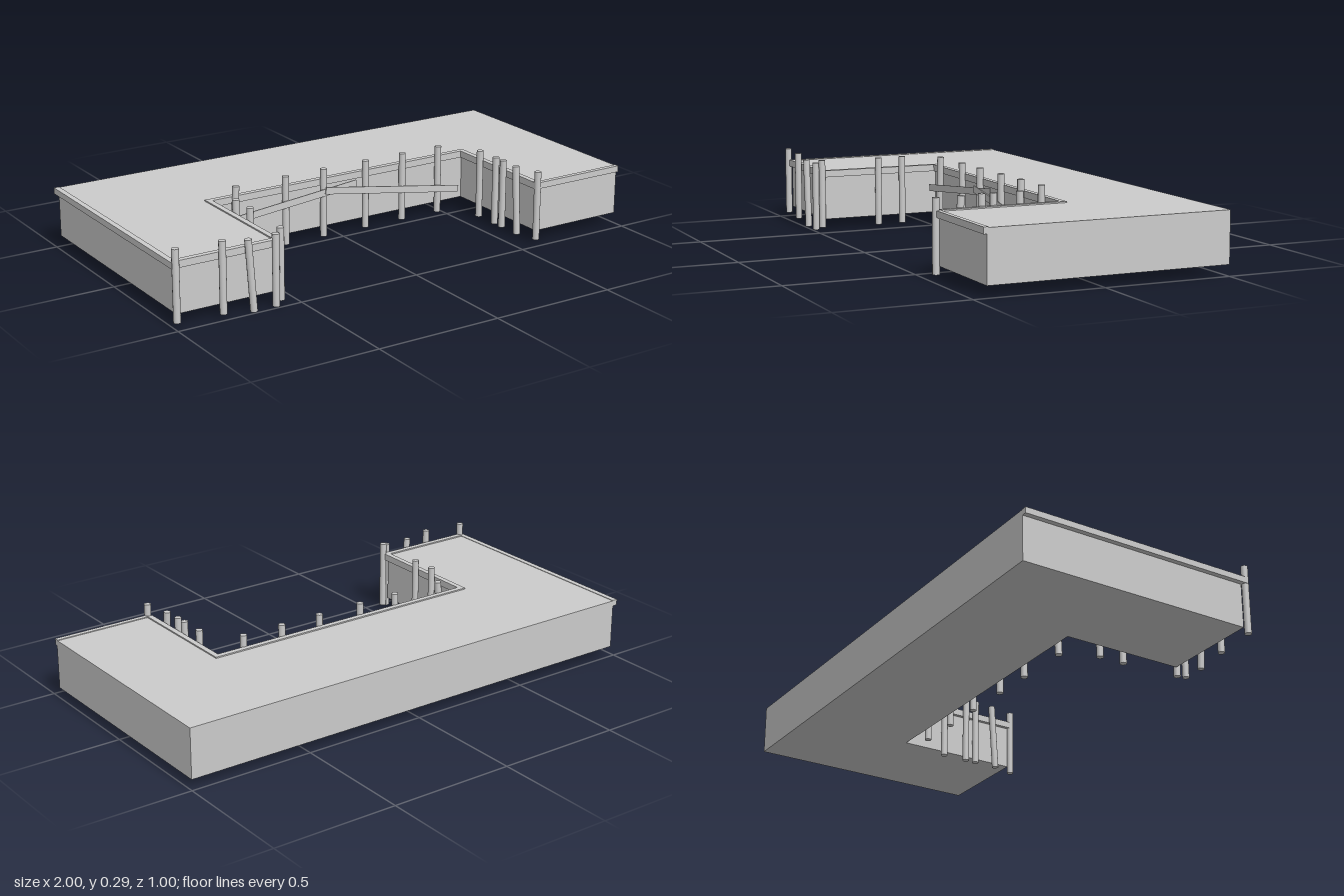
import * as THREE from 'three';

const mat = new THREE.MeshStandardMaterial({ color: 0xcccccc });
const UP = new THREE.Vector3(0, 1, 0);

export function createModel() {
  const model = new THREE.Group();

  const add = (parent, name, geometry) => {
    const mesh = new THREE.Mesh(geometry, mat);
    mesh.name = name;
    parent.add(mesh);
    return mesh;
  };
  const group = (name) => {
    const g = new THREE.Group();
    g.name = name;
    model.add(g);
    return g;
  };

  // U-shaped platform, drawn as (x, -z) and extruded upward
  const outline = [
    [-0.98, 0.5], [-0.98, -0.45], [-0.58, -0.45], [-0.58, 0.045],
    [0.6, 0.045], [0.6, -0.45], [1, -0.45], [1, 0.5],
  ].map(([x, y]) => new THREE.Vector2(x, y));
  const slab = new THREE.ExtrudeGeometry(new THREE.Shape(outline), { depth: 0.197, bevelEnabled: false });
  slab.rotateX(-Math.PI / 2);
  add(model, 'platform', slab).position.y = 0.045;

  // Edge beams that overhang the platform walls: x0, x1, z0, z1, top
  const beams = group('edgeBeams');
  [
    [-1, -0.978, -0.5, 0.465, 0.244],
    [-0.978, -0.565, 0.443, 0.465, 0.247],
    [-0.587, -0.565, -0.052, 0.443, 0.247],
    [-0.565, 0.585, -0.052, -0.03, 0.247],
    [0.585, 0.607, -0.052, 0.443, 0.247],
    [0.585, 1, 0.443, 0.462, 0.245],
  ].forEach(([x0, x1, z0, z1, top]) => {
    add(beams, 'edgeBeam', new THREE.BoxGeometry(x1 - x0, top - 0.22, z1 - z0))
      .position.set((x0 + x1) / 2, (top + 0.22) / 2, (z0 + z1) / 2);
  });

  // Round mooring posts: x, z at the foot, foot y, top y, lean in x and z
  const posts = group('posts');
  const addPost = (x, z, y0 = 0.015, y1 = 0.291, leanX = 0, leanZ = 0) => {
    const axis = new THREE.Vector3(leanX, y1 - y0, leanZ);
    const post = add(posts, 'post', new THREE.CylinderGeometry(0.0135, 0.0135, axis.length(), 12));
    post.position.set(x + leanX / 2, (y0 + y1) / 2, z + leanZ / 2);
    post.quaternion.setFromUnitVectors(UP, axis.normalize());
  };
  // Front of the right arm
  addPost(-0.985, 0.465, 0.02, 0.294);
  addPost(-0.81, 0.482, 0.02, 0.294);
  addPost(-0.687, 0.482, 0.003, 0.278, -0.02);
  addPost(-0.595, 0.482, 0.003, 0.278);
  addPost(-0.565, 0.465);
  // Inner walls of both arms
  [0.12, 0.225].forEach((z) => addPost(-0.55, z));
  [0.12, 0.225, 0.272].forEach((z) => addPost(0.571, z));
  addPost(0.571, 0.37, 0.015, 0.288, 0, -0.018);
  addPost(0.595, 0.46);
  // Back wall of the basin
  addPost(-0.485, -0.02, 0.015, 0.29, 0.015);
  [-0.252, -0.08, 0.115, 0.29, 0.464].forEach((x) => addPost(x, -0.02));

  // Thin sloping planks nailed across the back posts
  const planks = group('bracePlanks');
  const addPlank = (a, b) => {
    const from = new THREE.Vector3(...a);
    const to = new THREE.Vector3(...b);
    const run = to.clone().sub(from);
    const plank = add(planks, 'bracePlank', new THREE.BoxGeometry(run.length(), 0.028, 0.004));
    plank.position.copy(from).add(to).multiplyScalar(0.5);
    plank.rotation.order = 'YZX';
    plank.rotation.y = -Math.atan2(run.z, run.x);
    plank.rotation.z = Math.atan2(run.y, Math.hypot(run.x, run.z));
  };
  addPlank([-0.545, 0.154, -0.003], [0.06, 0.212, -0.002]);
  addPlank([-0.085, 0.208, 0.005], [0.555, 0.1, -0.005]);

  return model;
}
